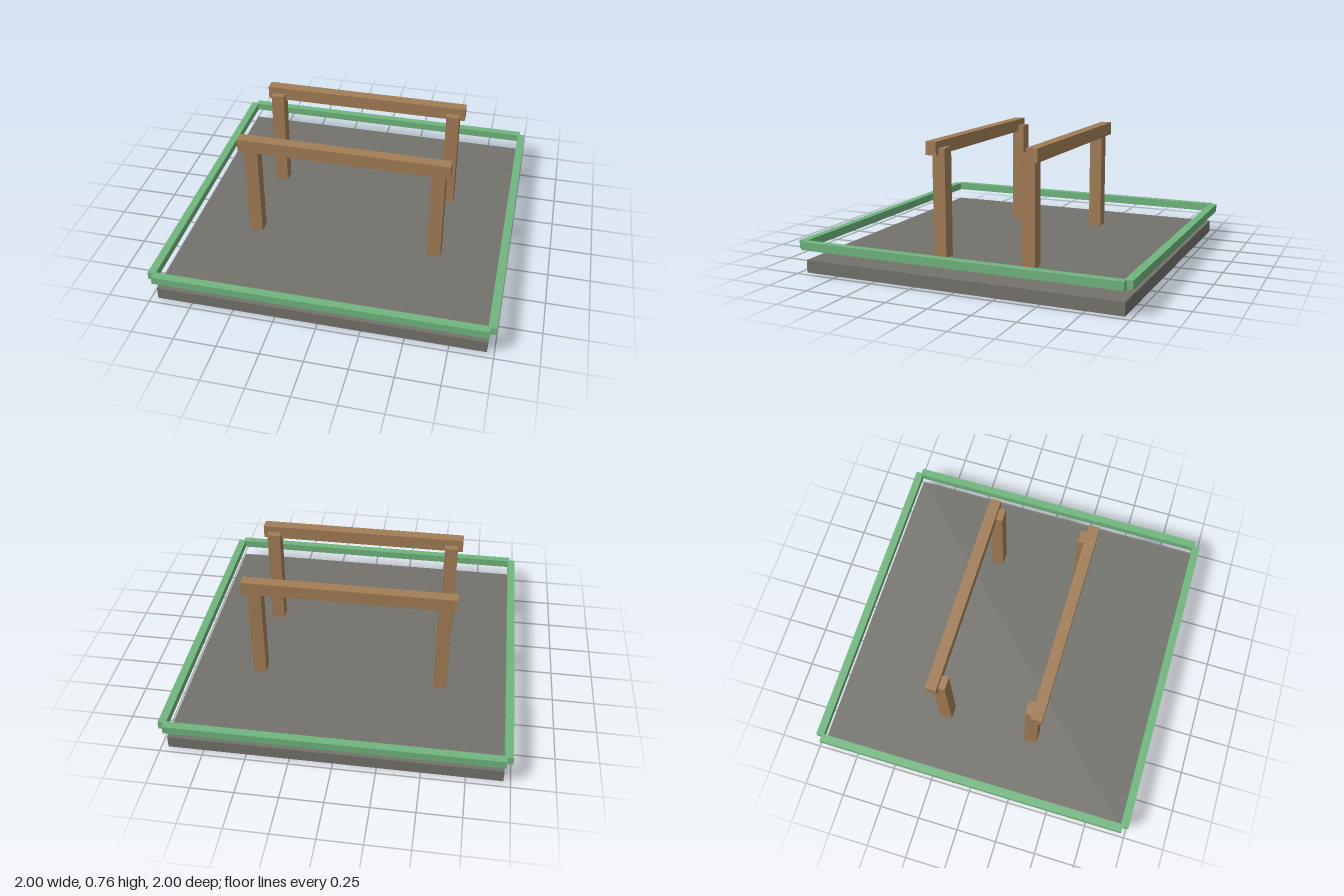
import * as THREE from 'three';

export function createModel() {
  const model = new THREE.Group();
  const material = (name, color) => {
    const m = new THREE.MeshStandardMaterial({ color });
    m.name = name;
    return m;
  };
  const stone = material('stone grey', 0x73726c);
  const wood = material('wood brown', 0xa27d56);
  const paint = material('rail green', 0x70b57e);

  // Box given by its size and centre
  const box = (name, mat, [w, h, d], [x, y, z]) => {
    const mesh = new THREE.Mesh(new THREE.BoxGeometry(w, h, d), mat);
    mesh.name = name;
    mesh.position.set(x, y, z);
    model.add(mesh);
  };

  // Ground slab
  box('baseSlab', stone, [1.92, 0.075, 1.92], [0, 0.0375, 0]);

  for (const s of [-1, 1]) {
    const end = s > 0 ? 'front' : 'back';
    const side = s > 0 ? 'left' : 'right';

    // Floating border rails, notched at the corners
    box(`${end}Rail`, paint, [1.93, 0.048, 0.048], [0, 0.168, s * 0.976]);
    box(`${side}Rail`, paint, [0.048, 0.048, 1.93], [s * 0.976, 0.168, 0]);

    // Crossbeam lapped over the outside of its two posts
    box(`${end}Beam`, wood, [1.26, 0.08, 0.066], [0, 0.72, s * 0.313]);
    for (const t of [-1, 1]) {
      box(`${end}${t > 0 ? 'Left' : 'Right'}Post`, wood, [0.08, 0.645, 0.08], [t * 0.56, 0.3975, s * 0.28]);
    }
  }
  return model;
}
